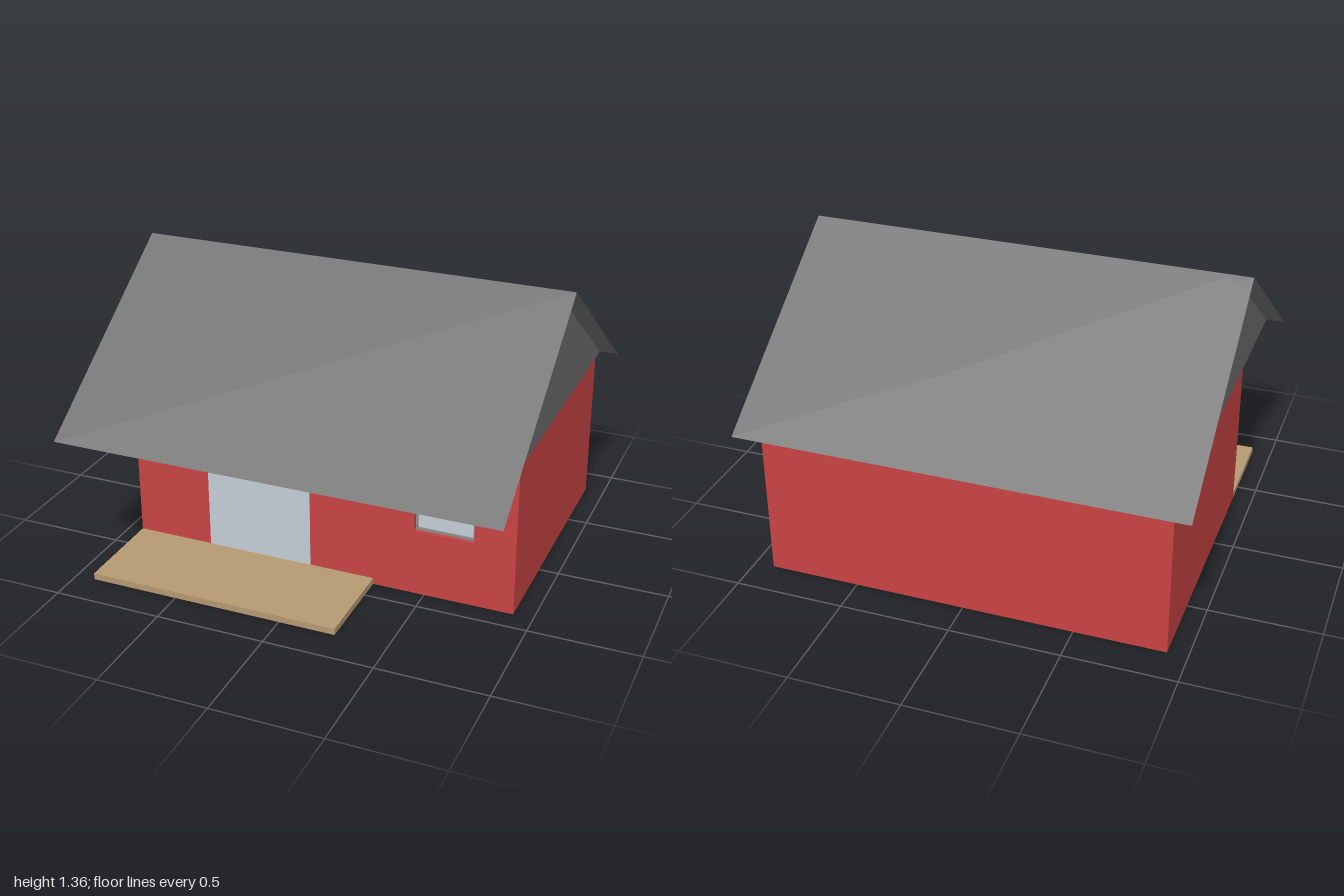
import * as THREE from 'three';

const mat = (name, color, side = THREE.FrontSide) => {
  const m = new THREE.MeshStandardMaterial({ color, side });
  m.name = name;
  return m;
};

// Rectangle outline as a Shape or a hole Path
const rect = (Type, x0, x1, y0, y1) => {
  const p = new Type();
  p.moveTo(x0, y0).lineTo(x1, y0).lineTo(x1, y1).lineTo(x0, y1).closePath();
  return p;
};

export function createModel() {
  const house = new THREE.Group();
  house.name = 'house';

  const red = mat('red wall', 0xc84343);
  const roofGrey = mat('roof grey', 0x6c6c6c, THREE.DoubleSide);
  const wood = mat('deck wood', 0xb59972);
  const glass = mat('pale glass', 0xc2cdd4);
  const frameGrey = mat('window frame grey', 0x8a8a8a);

  const add = (name, geometry, material) => {
    const mesh = new THREE.Mesh(geometry, material);
    mesh.name = name;
    house.add(mesh);
    return mesh;
  };

  // Box given by its limits on each axis
  const box = (name, material, x0, x1, y0, y1, z0, z1) =>
    add(name, new THREE.BoxGeometry(x1 - x0, y1 - y0, z1 - z0), material)
      .position.set((x0 + x1) / 2, (y0 + y1) / 2, (z0 + z1) / 2);

  // Rectangular panel with one rectangular hole, extruded from z0 to z1
  const ring = (name, material, outer, inner, z0, z1) => {
    const shape = rect(THREE.Shape, ...outer);
    shape.holes.push(rect(THREE.Path, ...inner));
    const geometry = new THREE.ExtrudeGeometry(shape, { depth: z1 - z0, bevelEnabled: false });
    add(name, geometry, material).position.z = z0;
  };

  const wallX = 0.91, eaveY = 0.71, ridgeY = 1.355, eaveZ = 0.925, frontZ = 0.4;

  // Walls: solid body plus a front panel with the window opening
  const opening = [0.452, 0.724, 0.315, 0.627];
  box('walls', red, -wallX, wallX, 0, eaveY, -0.835, frontZ - 0.03);
  ring('frontWall', red, [-wallX, wallX, 0, eaveY], opening, frontZ - 0.03, frontZ);

  // Window: raised red trim, recessed grey frame and pane
  const pane = [0.461, 0.715, 0.325, 0.617];
  ring('windowTrim', red, [0.44, 0.733, 0.305, 0.638], opening, frontZ, frontZ + 0.004);
  ring('windowFrame', frameGrey, opening, pane, frontZ - 0.03, frontZ - 0.012);
  box('windowPane', glass, ...pane, frontZ - 0.03, frontZ - 0.022);

  // Glazed door and wooden deck
  box('door', glass, -0.548, -0.045, 0.03, 0.605, frontZ - 0.002, frontZ + 0.002);
  box('deck', wood, -wallX, 0.26, 0, 0.03, frontZ, 0.84);

  // Attic prism: both gables and the flat soffit
  const gable = new THREE.Shape();
  gable.moveTo(-eaveZ, eaveY).lineTo(eaveZ, eaveY).lineTo(0, ridgeY).closePath();
  const attic = add('gables',
    new THREE.ExtrudeGeometry(gable, { depth: 2 * wallX, bevelEnabled: false }), roofGrey);
  attic.rotation.y = Math.PI / 2;
  attic.position.x = -wallX;

  // Roof sheets overhanging the gables
  const run = Math.hypot(eaveZ, ridgeY - eaveY);
  const pitch = Math.atan2(eaveZ, ridgeY - eaveY);
  for (const [name, side] of [['frontRoof', 1], ['backRoof', -1]]) {
    const sheet = new THREE.PlaneGeometry(2, run);
    sheet.rotateX(-pitch);
    sheet.translate(0, (eaveY + ridgeY) / 2, eaveZ / 2);
    if (side < 0) sheet.rotateY(Math.PI);
    add(name, sheet, roofGrey);
  }

  return house;
}
